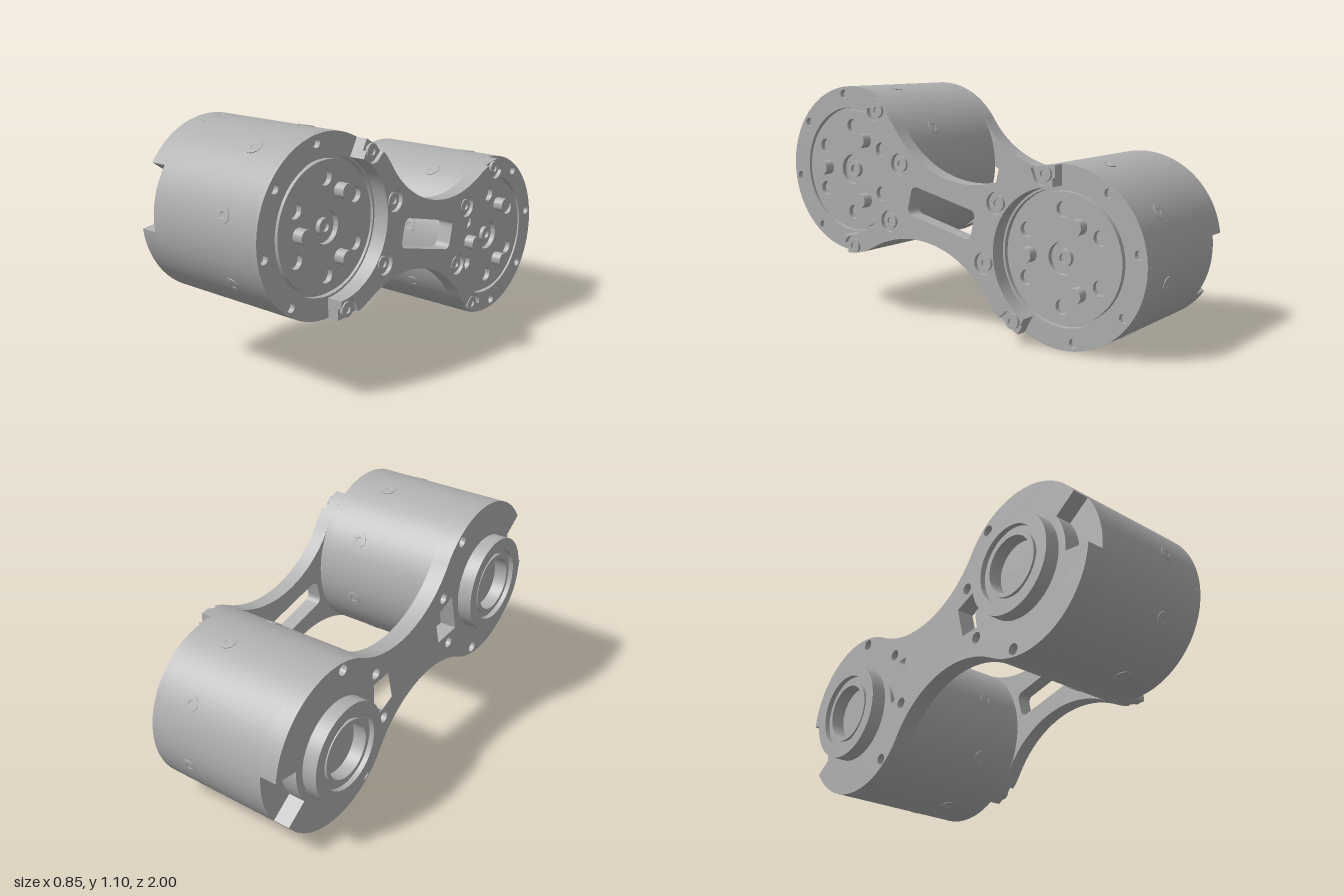
import * as THREE from 'three';
import { toCreasedNormals } from 'three/addons/utils/BufferGeometryUtils.js';

const M = 0.618;                         // motor distance from the middle, along the link
const TILT = Math.atan2(0.295, 1.2);     // slope of the link
const R = 0.4, BOLT_R = 0.365;
const rad = THREE.MathUtils.degToRad;

const metal = new THREE.MeshStandardMaterial({ color: 0xb0b0b0 });
metal.name = 'grey metal';

function add(parent, name, geo) {
  const mesh = new THREE.Mesh(geo, metal);
  mesh.name = name;
  parent.add(mesh);
  return mesh;
}

// Solid of revolution about z; profile of [radius, z]
function turned(profile, segments = 64) {
  const geo = new THREE.LatheGeometry(profile.map(p => new THREE.Vector2(...p)), segments);
  return toCreasedNormals(geo.rotateX(Math.PI / 2), 0.5);
}

function rod(radius, z0, z1, segments = 24) {
  return turned([[0, z0], [radius, z0], [radius, z1], [0, z1]], segments);
}

function slab(shape, z0, z1) {
  const geo = new THREE.ExtrudeGeometry(shape, { depth: z1 - z0, bevelEnabled: false, curveSegments: 32 });
  return toCreasedNormals(geo.translate(0, 0, z0), 0.5);
}

function circle(x, y, r, Type = THREE.Path) {
  const c = new Type();
  c.absarc(x, y, r, 0, Math.PI * 2, false);
  return c;
}

// Point around the +x motor, angle measured from the inward direction
const around = (deg, r) => [M - r * Math.cos(rad(deg)), r * Math.sin(rad(deg))];

// Quarter of the waisted outline, mirrored four ways
function linkShape(tip, inner, innerEnd, bite) {
  const q = [];
  const cy = 0.668, w = 0.51, phi = Math.atan2(M, cy);
  for (let i = 0; i <= 16; i++) {
    const a = phi * i / 16;
    q.push([w * Math.sin(a), cy - w * Math.cos(a)]);
  }
  const start = 90 - THREE.MathUtils.radToDeg(phi);
  const n = 48;
  for (let i = 1; i <= n; i++) {
    const deg = start + (tip - start) * i / n;
    const off = BOLT_R * Math.sin(rad(deg - 67.5));
    let r = R;
    if (bite && Math.abs(off) < bite)
      r = Math.min(R, BOLT_R * Math.cos(rad(deg - 67.5)) - Math.sqrt(bite * bite - off * off));
    q.push(around(deg, r));
  }
  for (let i = 0; i <= 32; i++) q.push(around(tip + (innerEnd - tip) * i / 32, inner));
  const back = q.slice().reverse();
  const all = [
    ...q, ...back.slice(1).map(([x, y]) => [x, -y]),
    ...q.slice(1).map(([x, y]) => [-x, -y]), ...back.slice(1, -1).map(([x, y]) => [-x, y]),
  ];
  return new THREE.Shape(all.map(p => new THREE.Vector2(...p)));
}

function slot(hw, hh, r) {
  const p = new THREE.Path();
  p.absarc(hw - r, hh - r, r, 0, Math.PI / 2);
  p.absarc(-hw + r, hh - r, r, Math.PI / 2, Math.PI);
  p.absarc(-hw + r, -hh + r, r, Math.PI, Math.PI * 1.5);
  p.absarc(hw - r, -hh + r, r, Math.PI * 1.5, Math.PI * 2);
  p.closePath();
  return p;
}

function makeMotor(side) {
  const motor = new THREE.Group();
  motor.name = side < 0 ? 'frontMotor' : 'rearMotor';
  motor.position.x = side * M;
  add(motor, 'motorBody', rod(R, -0.268, 0.325, 96));

  // Outer face ring with small screw holes
  const ring = circle(0, 0, R, THREE.Shape);
  ring.holes.push(circle(0, 0, 0.3));
  for (let i = 0; i < 8; i++) {
    const a = rad(22.5 + 45 * i);
    if (Math.cos(a) * side > 0) ring.holes.push(circle(BOLT_R * Math.cos(a), BOLT_R * Math.sin(a), 0.021));
  }
  add(motor, 'faceRing', slab(ring, 0.325, 0.35));

  // Rotor face: six holes, three pegs and a hub screw
  const rotor = new THREE.Group();
  rotor.name = 'rotor';
  rotor.rotation.z = TILT;
  motor.add(rotor);
  const disc = circle(0, 0, 0.285, THREE.Shape);
  disc.holes.push(circle(0, 0, 0.072));
  for (let i = 0; i < 6; i++) {
    const a = rad(30 + 60 * i);
    disc.holes.push(circle(0.21 * Math.cos(a), 0.21 * Math.sin(a), 0.034));
  }
  add(rotor, 'rotorDisc', slab(disc, 0.325, 0.35));
  for (let i = 0; i < 3; i++) {
    const a = rad(60 + 120 * i);
    add(rotor, 'peg', rod(0.034, 0.34, 0.4)).position.set(0.166 * Math.cos(a), 0.166 * Math.sin(a), 0);
  }
  add(rotor, 'hubScrew', turned([[0.038, 0.32], [0.038, 0.346], [0.02, 0.346], [0.02, 0.33], [0, 0.33]], 24));

  // Screws around the body
  for (let i = 0; i < 8; i++) {
    const spoke = new THREE.Group();
    spoke.name = 'bodyScrew';
    spoke.rotation.z = rad(45 * i);
    motor.add(spoke);
    const screw = add(spoke, 'screwHead', turned(
      [[0.037, -0.01], [0.037, 0.002], [0.031, 0.003], [0.015, 0.003], [0.012, 0.0005], [0, 0.0005]], 24));
    screw.rotation.y = Math.PI / 2;
    screw.position.set(R, 0, 0.152);
  }

  // Stepped bearing flange on the other end
  add(motor, 'bearingFlange', turned([
    [0, -0.3], [0.13, -0.3], [0.13, -0.415], [0.15, -0.415], [0.15, -0.4], [0.178, -0.4],
    [0.178, -0.425], [0.235, -0.425], [0.235, -0.355], [0.195, -0.355], [0.195, -0.26],
  ]));
  return motor;
}

export function createModel() {
  const model = new THREE.Group();
  model.name = 'twinMotorLink';
  model.rotation.y = Math.PI / 2;
  model.position.y = 0.5555;
  const link = new THREE.Group();
  link.name = 'link';
  link.rotation.z = -TILT;
  model.add(link);

  for (const side of [-1, 1]) link.add(makeMotor(side));

  // Connecting plate over the rotor faces, with counterbores in its top layer
  const base = linkShape(75, 0.31, 0, 0);
  base.holes.push(slot(0.185, 0.068, 0.03));
  add(link, 'armPlate', slab(base, 0.35, 0.405));
  const top = linkShape(75, 0.31, 0, 0.05);
  top.holes.push(slot(0.185, 0.068, 0.03));

  // Cap plate on the other end, with cable notches and windows
  const cap = linkShape(159, 0.27, 180, 0);
  for (const sx of [-1, 1]) {
    cap.holes.push(new THREE.Path([[0.2, 0.075], [0.35, 0.1], [0.35, -0.1], [0.2, -0.075]]
      .map(([x, y]) => new THREE.Vector2(sx * x, y))));
    for (const sy of [-1, 1]) {
      const [ix, iy] = around(22.5, BOLT_R);
      top.holes.push(circle(sx * ix, sy * iy, 0.05));
      for (const deg of [22.5, 67.5]) {
        const [x, y] = around(deg, BOLT_R);
        cap.holes.push(circle(sx * x, sy * y, 0.027));
        add(link, 'plateBolt', turned(
          [[0.034, 0.4], [0.034, 0.418], [0.017, 0.418], [0.017, 0.408], [0, 0.408]], 24))
          .position.set(sx * x, sy * y, 0);
      }
    }
  }
  add(link, 'armPlateTop', slab(top, 0.405, 0.425));
  add(link, 'capPlate', slab(cap, -0.35, -0.265));

  const root = new THREE.Group();
  root.name = 'model';
  root.add(model);
  return root;
}
